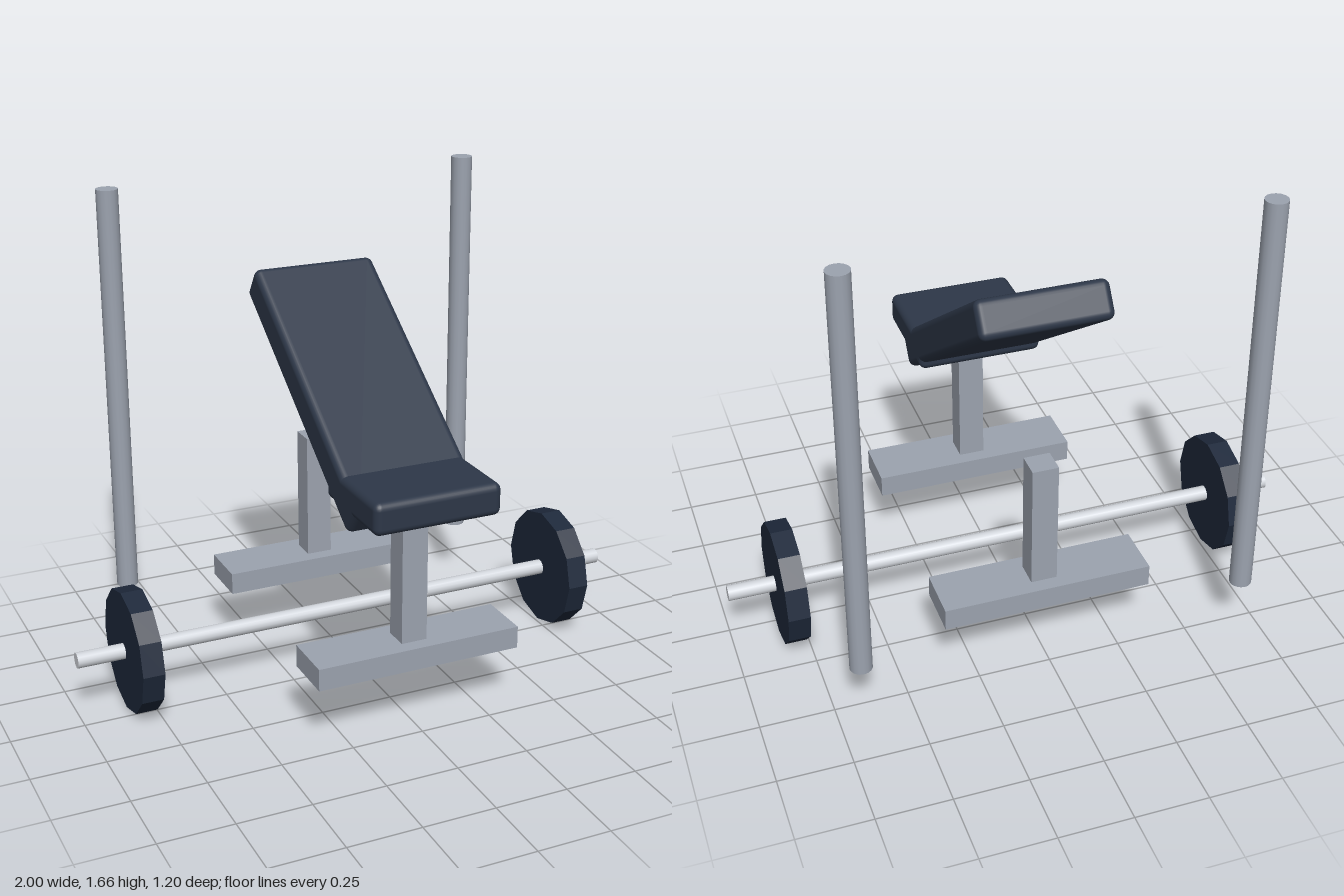
import * as THREE from 'three';
import { RoundedBoxGeometry } from 'three/addons/geometries/RoundedBoxGeometry.js';

export function createModel() {
  const model = new THREE.Group();
  model.name = 'weightBench';

  const mat = (color, flatShading = false) => new THREE.MeshStandardMaterial({ color, flatShading });
  const padMat = mat(0x2d3748);
  const frameMat = mat(0x9ca3af);
  const barMat = mat(0xd1d5db);
  const plateMat = mat(0x1e293b, true);

  const add = (parent, name, geometry, material, x, y, z) => {
    const mesh = new THREE.Mesh(geometry, material);
    mesh.name = name;
    mesh.position.set(x, y, z);
    parent.add(mesh);
    return mesh;
  };

  // Padded seat and reclined backrest
  add(model, 'seat', new RoundedBoxGeometry(0.44, 0.11, 0.375, 3, 0.025), padMat, 0, 0.825, 0.41);
  const backrest = add(model, 'backrest', new RoundedBoxGeometry(0.44, 0.13, 1.016, 3, 0.025), padMat, 0, 1.04, 0);
  backrest.rotation.x = THREE.MathUtils.degToRad(35);

  // Front and rear stands: a square post on a wide foot
  for (const [name, z] of [['front', 0.387], ['rear', -0.391]]) {
    const stand = new THREE.Group();
    stand.name = name + 'Stand';
    stand.position.z = z;
    add(stand, name + 'Leg', new THREE.BoxGeometry(0.09, 0.53, 0.088), frameMat, 0, 0.481, 0);
    add(stand, name + 'Foot', new THREE.BoxGeometry(0.72, 0.077, 0.187), frameMat, 0, 0.26, 0);
    model.add(stand);
  }

  // Barbell: a thin bar along x with a faceted plate near each end
  const barbell = new THREE.Group();
  barbell.name = 'barbell';
  barbell.position.set(0, 0.213, -0.059);
  const barGeo = new THREE.CylinderGeometry(0.027, 0.027, 2, 16).rotateZ(Math.PI / 2);
  add(barbell, 'bar', barGeo, barMat, 0, 0, 0);
  const plateGeo = new THREE.CylinderGeometry(0.213, 0.213, 0.075, 12).rotateZ(Math.PI / 2);
  model.add(barbell);

  // Mirrored plates and rack uprights
  const uprightGeo = new THREE.CylinderGeometry(0.038, 0.038, 1.445, 16);
  for (const [side, s] of [['left', 1], ['right', -1]]) {
    add(barbell, side + 'Plate', plateGeo, plateMat, s * 0.8, 0, 0);
    add(model, side + 'Upright', uprightGeo, frameMat, s * 0.667, 0.9375, -0.56);
  }

  return model;
}
